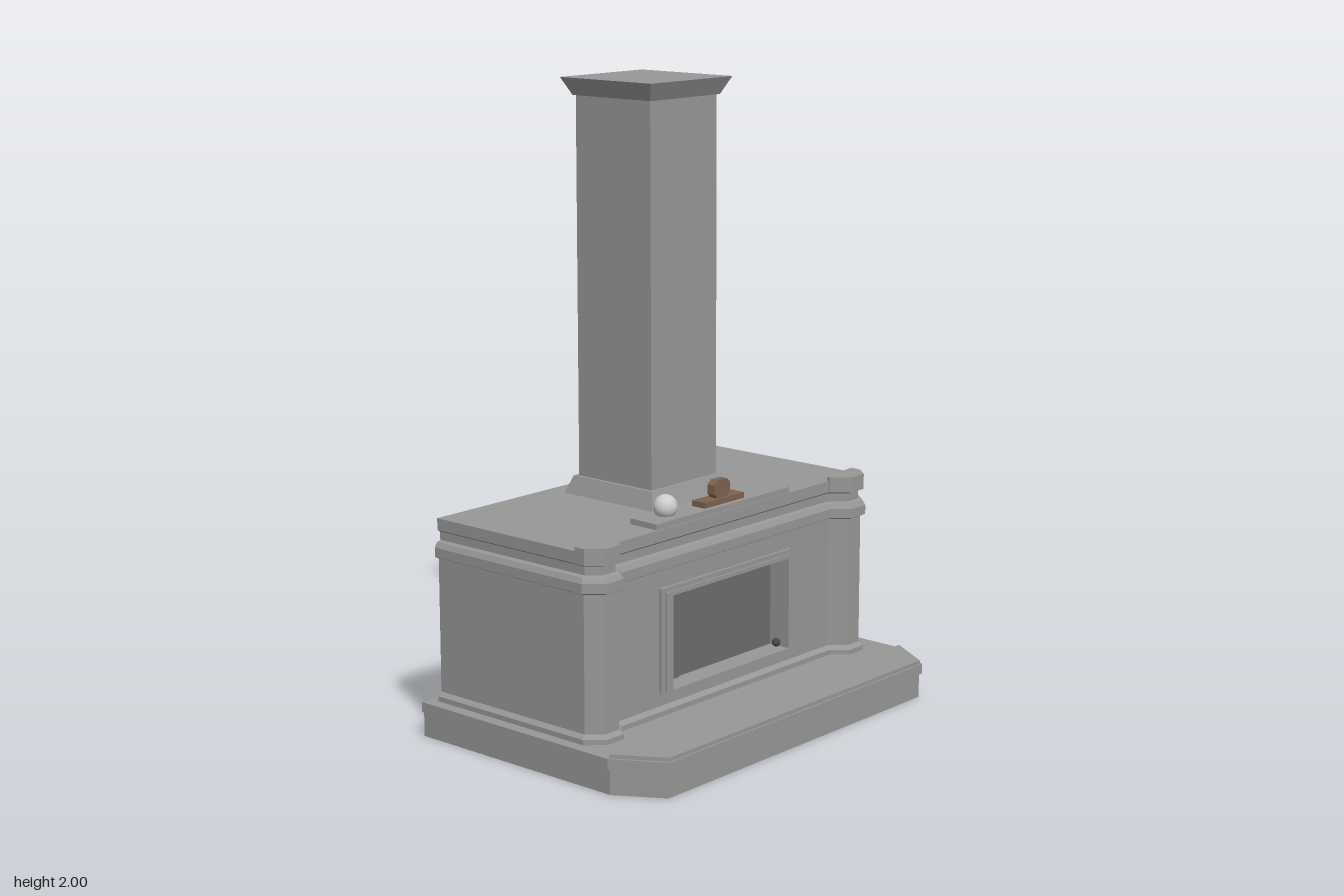
import * as THREE from 'three';

const stone = new THREE.MeshStandardMaterial({ color: 0x979797, flatShading: true, side: THREE.DoubleSide });
const dark = new THREE.MeshStandardMaterial({ color: 0x6c6c6c });
const iron = new THREE.MeshStandardMaterial({ color: 0x484848 });
const pale = new THREE.MeshStandardMaterial({ color: 0xcccccc });
const brown = new THREE.MeshStandardMaterial({ color: 0x7d624d });

export function createModel() {
  const group = new THREE.Group();

  const add = (name, geometry, material = stone, x = 0, y = 0, z = 0) => {
    const mesh = new THREE.Mesh(geometry, material);
    mesh.name = name;
    mesh.position.set(x, y, z);
    group.add(mesh);
    return mesh;
  };
  const box = (name, x0, x1, y0, y1, z0, z1, material) =>
    add(name, new THREE.BoxGeometry(x1 - x0, y1 - y0, z1 - z0), material,
      (x0 + x1) / 2, (y0 + y1) / 2, (z0 + z1) / 2);

  // Upright prism over a plan outline of [x, z] points
  const prism = (name, plan, y0, y1) => {
    const shape = new THREE.Shape(plan.map(([x, z]) => new THREE.Vector2(x, -z)));
    const g = new THREE.ExtrudeGeometry(shape, { depth: y1 - y0, bevelEnabled: false });
    return add(name, g.rotateX(-Math.PI / 2), stone, 0, y0, 0);
  };

  // Offsets an open plan path outward with mitred corners
  const offset = (path, d) => path.map(([x, z], i) => {
    const normals = [];
    for (const k of [i - 1, i]) {
      if (k < 0 || k >= path.length - 1) continue;
      const dx = path[k + 1][0] - path[k][0], dz = path[k + 1][1] - path[k][1];
      const l = Math.hypot(dx, dz);
      normals.push(new THREE.Vector2(dz / l, -dx / l));
    }
    const m = normals[0].clone().add(normals[normals.length - 1]).normalize();
    const s = d / m.dot(normals[0]);
    return [x + m.x * s, z + m.y * s];
  });

  // Sweeps a moulding profile of [y, offset] points along a plan path
  const sweep = (name, path, profile) => {
    const rings = profile.map(([y, d]) => offset(path, d).map(([x, z]) => [x, y, z]));
    const pos = [];
    for (let j = 0; j < rings.length - 1; j++) {
      for (let i = 0; i < path.length - 1; i++) {
        const a = rings[j][i], b = rings[j][i + 1], c = rings[j + 1][i], d = rings[j + 1][i + 1];
        pos.push(...b, ...a, ...c, ...b, ...c, ...d);
      }
    }
    const g = new THREE.BufferGeometry();
    g.setAttribute('position', new THREE.Float32BufferAttribute(pos, 3));
    g.computeVertexNormals();
    return add(name, g);
  };

  // Square tapered tier
  const tier = (name, half0, half1, y0, y1, x, z) => {
    const g = new THREE.CylinderGeometry(half1 * Math.SQRT2, half0 * Math.SQRT2, y1 - y0, 4);
    return add(name, g.rotateY(Math.PI / 4), stone, x, (y0 + y1) / 2, z);
  };

  // Hearth with chamfered front corners and a projecting lip
  const hearth = (e) => [[-0.70 - e, -0.47], [0.70 + e, -0.47], [0.70 + e, 0.31],
    [0.61 + e / 2, 0.457 + e], [-0.61 - e / 2, 0.457 + e], [-0.70 - e, 0.31]];
  prism('hearthBase', hearth(0), 0, 0.08);
  prism('hearthLip', hearth(0.009), 0.08, 0.112);
  prism('hearthFrontSlab', [[0.70, 0.31], [0.609, 0.46], [-0.609, 0.46], [-0.70, 0.31]], 0.112, 0.124);

  // Body plan: side, faceted pilaster, recessed front, mirrored
  const cx = -0.006;
  const half = [[0.65, -0.437], [0.65, 0.17], [0.61, 0.215], [0.55, 0.215], [0.507, 0.165]];
  const side = (s) => half.map(([x, z]) => [s * x + cx, z]);
  const left = side(1), right = side(-1).reverse();
  const plan = [...left, ...right];

  sweep('leftWall', left, [[0.14, 0], [0.57, 0]]);
  sweep('rightWall', right, [[0.14, 0], [0.57, 0]]);
  sweep('plinthMoulding', plan, [[0.11, 0.014], [0.128, 0.014], [0.14, 0]]);
  sweep('cornice', plan, [[0.565, 0], [0.572, 0.015], [0.602, 0.015], [0.618, 0.006], [0.622, -0.008],
    [0.648, -0.008], [0.655, 0.003], [0.69, 0.003]]);

  // Recessed front wall with the fire opening
  const rect = (P, x0, x1, y0, y1) => {
    const p = new P();
    p.moveTo(x0, y0); p.lineTo(x1, y0); p.lineTo(x1, y1); p.lineTo(x0, y1); p.closePath();
    return p;
  };
  const front = rect(THREE.Shape, -0.513, 0.501, 0.13, 0.575);
  front.holes.push(rect(THREE.Path, -0.275, 0.28, 0.185, 0.482));
  add('frontWall', new THREE.ShapeGeometry(front), stone, 0, 0, 0.165);

  // Stepped frame around the opening
  [[-0.322, 0.297, 0.18, 0.51, 0.010], [-0.305, 0.287, 0.182, 0.495, 0.016]].forEach(([x0, x1, y0, y1, d]) => {
    const s = rect(THREE.Shape, x0, x1, y0, y1);
    s.holes.push(rect(THREE.Path, -0.275, 0.28, 0.185, 0.482));
    add('openingFrame', new THREE.ExtrudeGeometry(s, { depth: d, bevelEnabled: false }), stone, 0, 0, 0.165);
  });

  // Firebox shell closed by dark screen panels behind the opening
  const shell = rect(THREE.Shape, -0.285, 0.29, 0.165, 0.49);
  shell.holes.push(rect(THREE.Path, -0.275, 0.28, 0.185, 0.482));
  add('fireboxShell', new THREE.ExtrudeGeometry(shell, { depth: 0.52, bevelEnabled: false }), stone, 0, 0, -0.355);
  box('fireboxBack', -0.285, 0.29, 0.165, 0.49, -0.365, -0.355);
  box('narrowFireScreen', -0.275, -0.17, 0.185, 0.482, 0.105, 0.112, dark);
  box('wideFireScreen', -0.17, 0.28, 0.185, 0.482, 0.098, 0.105, dark);
  for (const x of [-0.266, 0.268]) {
    add('andironKnob', new THREE.SphereGeometry(0.014, 12, 8), iron, x, 0.2, 0.14);
  }
  tier('flue', 0.15, 0.15, 0.49, 0.685, 0.012, -0.18);

  // Mantel top and pilaster caps
  prism('mantelTop', offset(plan, 0.003), 0.683, 0.692);
  for (const s of [1, -1]) {
    const cap = [[0.655, 0.14], [0.655, 0.178], [0.614, 0.224], [0.552, 0.224], [0.503, 0.172], [0.503, 0.16]]
      .map(([x, z]) => [s * x + cx, z]);
    prism('pilasterCap', cap, 0.655, 0.705);
  }

  // Chimney stack with flared foot and crown
  const px = 0.014, pz = -0.182;
  tier('chimneyFoot', 0.187, 0.165, 0.69, 0.748, px, pz);
  tier('chimneyStack', 0.153, 0.153, 0.74, 1.95, px, pz);
  tier('chimneyCrown', 0.16, 0.187, 1.945, 2.0, px, pz);

  // Ornaments on the mantel
  prism('mantelRunner', [[-0.325, 0.053], [0.30, 0.06], [0.295, 0.165], [-0.33, 0.163]], 0.69, 0.71);
  add('ballOrnament', new THREE.SphereGeometry(0.038, 24, 16), pale, -0.222, 0.735, 0.102);
  add('ballStand', new THREE.CylinderGeometry(0.022, 0.03, 0.012, 20), pale, -0.222, 0.712, 0.102);
  box('ornamentBase', -0.09, 0.095, 0.708, 0.728, 0.095, 0.147, brown);
  const plaque = new THREE.Shape([[-0.022, 0], [0.022, 0], [0.037, 0.015], [0.037, 0.044], [0.022, 0.058],
    [-0.022, 0.058], [-0.037, 0.044], [-0.037, 0.015]].map(([x, y]) => new THREE.Vector2(x, y)));
  add('ornamentPlaque', new THREE.ExtrudeGeometry(plaque, { depth: 0.028, bevelEnabled: false }), brown,
    0.002, 0.726, 0.11);

  return group;
}
